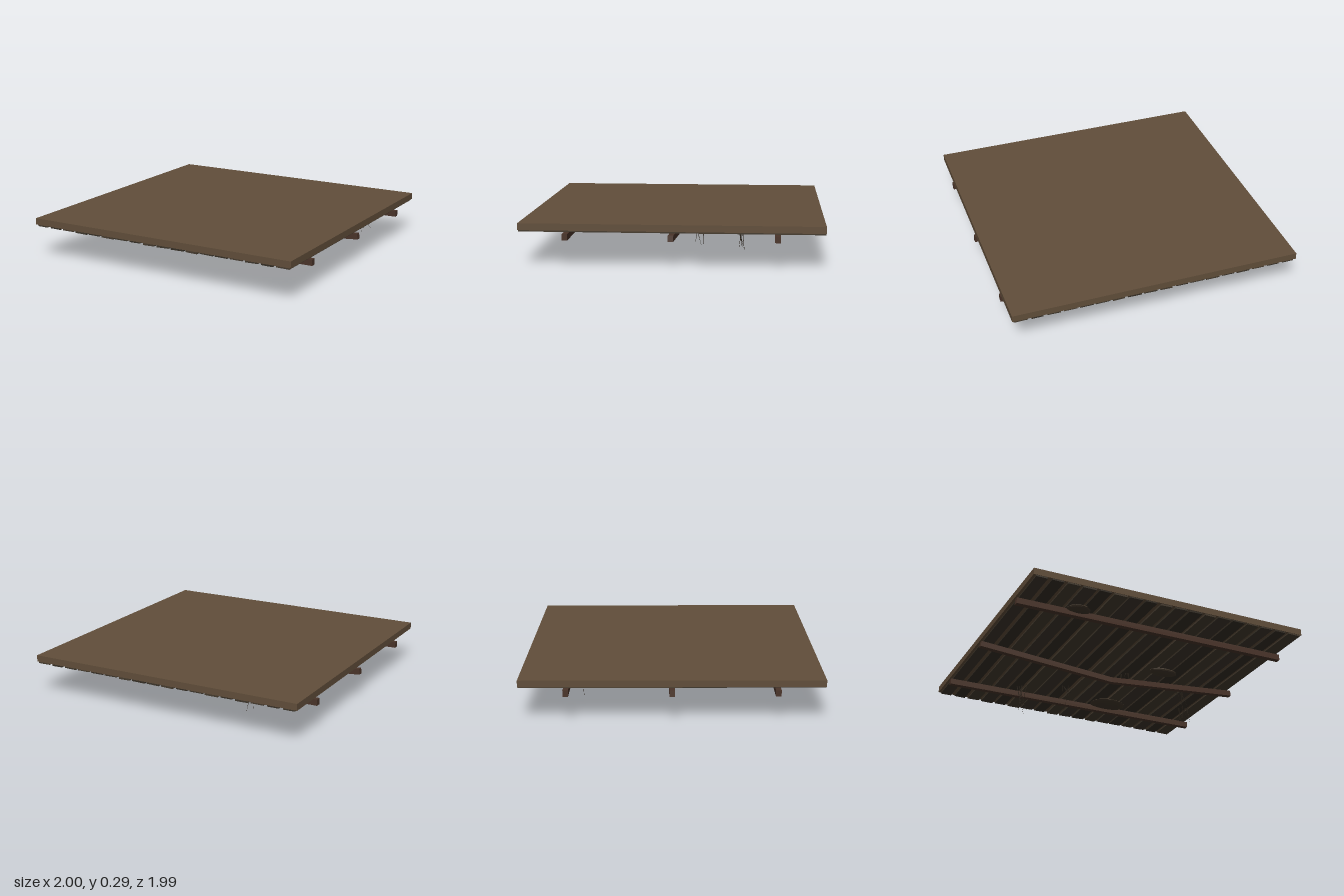
import * as THREE from 'three';

const material = (color, extra = {}) => new THREE.MeshStandardMaterial({ color, ...extra });

function seeded(seed) {
  return () => {
    seed = (seed * 16807) % 2147483647;
    return seed / 2147483647;
  };
}

export function createModel() {
  const model = new THREE.Group();
  model.name = 'ruinedCeiling';
  const rand = seeded(4217);
  const spread = (a) => (rand() - 0.5) * 2 * a;

  const slabMat = material(0x614e3a);
  const beamMat = material(0x4a3429);
  const plankMats = [0x3d362b, 0x352e25, 0x453b2e].map((c) => material(c));
  const stainMat = material(0x41362a, { flatShading: true });
  const rootMat = material(0x2e261c);

  const add = (name, geometry, mat, x, y, z, parent = model) => {
    const mesh = new THREE.Mesh(geometry, mat);
    mesh.name = name;
    mesh.position.set(x, y, z);
    parent.add(mesh);
    return mesh;
  };

  // Ceiling slab
  add('ceilingSlab', new THREE.BoxGeometry(1.985, 0.045, 1.985), slabMat, 0, 0.2625, 0);

  // Uneven boards running front to back under the slab
  const planks = new THREE.Group();
  planks.name = 'planks';
  model.add(planks);
  const count = 18;
  const pitch = 1.98 / count;
  for (let i = 0; i < count; i++) {
    const width = pitch * (0.72 + 0.2 * rand());
    const x = -0.99 + pitch * (i + 0.5);
    const plank = add('plank', new THREE.BoxGeometry(width, 0.012, 1.98),
      plankMats[i % 3], x, 0.235 + spread(0.003), 0, planks);
    plank.rotation.z = spread(0.04);
  }

  // Straight beams across the front and back
  for (const z of [0.685, -0.685]) {
    add('beam', new THREE.BoxGeometry(1.99, 0.042, 0.036), beamMat, 0, 0.198, z);
  }

  // Cracked middle beam, sagging to a point at its centre
  const sag = new THREE.Shape();
  sag.moveTo(-1, 0.178);
  sag.lineTo(0, 0.097);
  sag.lineTo(1, 0.178);
  sag.lineTo(0.995, 0.218);
  sag.lineTo(0, 0.136);
  sag.lineTo(-0.995, 0.218);
  sag.closePath();
  add('saggingBeam',
    new THREE.ExtrudeGeometry(sag, { depth: 0.036, bevelEnabled: false }),
    beamMat, 0, 0, -0.018);

  // Flattened bulges of rot: x, z, x radius, z radius
  for (const [x, z, rx, rz] of [
    [0.26, -0.62, 0.14, 0.1],
    [0.385, 0.085, 0.11, 0.057],
    [-0.565, 0.705, 0.085, 0.072],
  ]) {
    const bulge = add('rotBulge', new THREE.SphereGeometry(1, 12, 8), stainMat, x, 0.222, z);
    bulge.scale.set(rx, 0.023, rz);
  }

  // Clusters of thin hanging roots: x, z, lowest height, number of strands
  for (const [x, z, low, strands] of [
    [-0.45, -0.6, 0, 4],
    [-0.15, -0.47, 0.1, 5],
    [0.15, -0.06, 0.1, 4],
    [0.66, -0.17, 0.09, 4],
    [0.85, -0.45, 0.09, 5],
  ]) {
    const cluster = new THREE.Group();
    cluster.name = 'hangingRoots';
    model.add(cluster);
    for (let i = 0; i < strands; i++) {
      const top = new THREE.Vector3(x + spread(0.045), 0.236, z + spread(0.03));
      const tip = new THREE.Vector3(
        x + spread(0.045), i === 0 ? low : low + 0.09 * rand(), z + spread(0.03));
      const length = top.distanceTo(tip);
      const root = add('root', new THREE.CylinderGeometry(0.0035, 0.0005, length, 5),
        rootMat, 0, 0, 0, cluster);
      root.position.copy(top).add(tip).multiplyScalar(0.5);
      root.quaternion.setFromUnitVectors(
        new THREE.Vector3(0, 1, 0), top.clone().sub(tip).normalize());
    }
  }

  return model;
}
